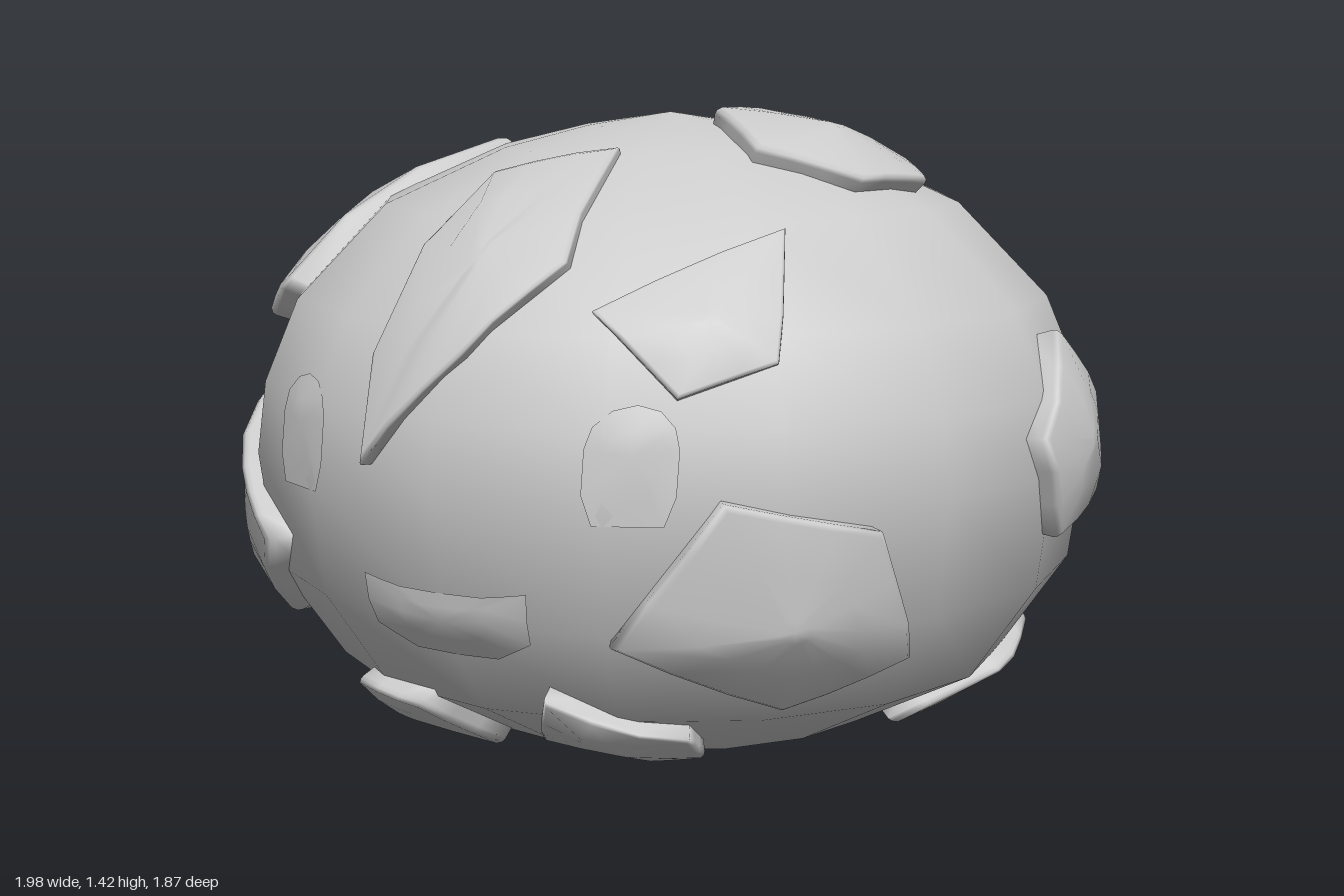
import * as THREE from 'three';

const grey = new THREE.MeshStandardMaterial({ color: 0xcccccc, side: THREE.DoubleSide });
const centre = new THREE.Vector3(0, 0.66, 0);
const depth = 0.985, forward = 0.012; // body is slightly shallower than wide and set forward

// Body profile: radius, height
const profile = [
  [0, 0], [0.24, 0.025], [0.485, 0.055], [0.76, 0.195], [0.91, 0.41], [0.945, 0.66],
  [0.925, 0.82], [0.85, 1.0], [0.65, 1.205], [0.38, 1.325], [0.19, 1.372], [0, 1.4],
].map(([r, y]) => new THREE.Vector2(r, y));

function radiusAt(y) {
  for (let i = 1; i < profile.length; i++) {
    const a = profile[i - 1], b = profile[i];
    if (y >= a.y && y <= b.y) return a.x + (b.x - a.x) * (y - a.y) / (b.y - a.y);
  }
  return 0;
}

// Push a point along its ray from the centre onto the body, plus a lift
function onBody(p, lift) {
  const dir = p.clone().sub(centre).normalize();
  let lo = 0, hi = 1.5;
  for (let i = 0; i < 30; i++) {
    const t = (lo + hi) / 2;
    const inside = Math.hypot(dir.x * t, (dir.z * t - forward) / depth) < radiusAt(centre.y + dir.y * t);
    if (inside) lo = t; else hi = t;
  }
  return dir.multiplyScalar(lo + lift).add(centre);
}

// Curved patch over the body: rings of [scale, lift] shrinking to the middle
function patch(name, corners, rings, steps) {
  const pts = corners.map((c) => new THREE.Vector3(...c));
  const mid = pts.reduce((s, p) => s.add(p), new THREE.Vector3()).divideScalar(pts.length);
  const area = new THREE.Vector3();
  pts.forEach((p, i) => area.add(p.clone().sub(mid).cross(pts[(i + 1) % pts.length].clone().sub(mid))));
  if (area.dot(mid.clone().sub(centre)) < 0) pts.reverse();

  const outline = [];
  pts.forEach((p, i) => {
    for (let s = 0; s < steps; s++) outline.push(p.clone().lerp(pts[(i + 1) % pts.length], s / steps));
  });
  const n = outline.length, pos = [], index = [];
  for (const [scale, lift] of rings) {
    for (const p of outline) pos.push(...onBody(mid.clone().lerp(p, scale), lift).toArray());
  }
  pos.push(...onBody(mid, rings[rings.length - 1][1]).toArray());
  const last = rings.length - 1;
  for (let i = 0; i < n; i++) {
    const j = (i + 1) % n;
    for (let r = 0; r < last; r++) {
      const a = r * n + i, b = r * n + j;
      index.push(a, b, b + n, a, b + n, a + n);
    }
    index.push(last * n + i, last * n + j, rings.length * n);
  }
  const geo = new THREE.BufferGeometry();
  geo.setAttribute('position', new THREE.Float32BufferAttribute(pos, 3));
  geo.setIndex(index);
  geo.computeVertexNormals();
  const mesh = new THREE.Mesh(geo, grey);
  mesh.name = name;
  return mesh;
}

// Corner points of the thinner plates
const thinPlates = {
  foreheadPlate: [[-0.15, 1.28, 0.47], [0.09, 1.34, 0.37], [0.18, 1.12, 0.7], [0.04, 0.95, 0.87], [-0.18, 0.72, 0.93]],
  leftBrowPlate: [[0.28, 1.05, 0.78], [0.51, 1.18, 0.42], [0.62, 0.95, 0.63], [0.46, 0.88, 0.75]],
  backPlate: [[-0.1, 0.94, -0.87], [0.06, 1.04, -0.78], [0.17, 1.09, -0.65], [0.42, 1.08, -0.58],
    [0.62, 0.98, -0.61], [0.52, 0.71, -0.74], [0.4, 0.6, -0.83], [0.18, 0.48, -0.89]],
  smallTopPlate: [[-0.55, 1.2, -0.37], [-0.24, 1.26, -0.48], [-0.14, 1.3, -0.41], [-0.21, 1.34, -0.26]],
};

// Corner points of the thicker plates
const thickPlates = {
  leftCheekPlate: [[0.56, 0.69, 0.75], [0.78, 0.62, 0.52], [0.81, 0.33, 0.4], [0.6, 0.23, 0.57], [0.36, 0.4, 0.84]],
  rightCheekPlate: [[-0.89, 0.78, 0.25], [-0.72, 0.62, 0.62], [-0.53, 0.5, 0.78], [-0.61, 0.3, 0.57],
    [-0.82, 0.22, 0.04], [-0.95, 0.6, -0.1]],
  leftChinPlate: [[0.18, 0.26, 0.8], [0.4, 0.17, 0.6], [0.36, 0.09, 0.47], [0.25, 0.07, 0.5], [0.1, 0.15, 0.68]],
  rightChinPlate: [[-0.51, 0.12, 0.36], [-0.34, 0.22, 0.7], [-0.14, 0.21, 0.75], [-0.12, 0.06, 0.5]],
  leftSidePlate: [[0.88, 0.95, -0.1], [0.94, 0.75, 0.1], [0.94, 0.53, 0.02], [0.9, 0.58, -0.25], [0.89, 0.8, -0.26]],
  leftUndersidePlate: [[0.54, 0.08, -0.01], [0.72, 0.19, -0.16], [0.68, 0.25, -0.41], [0.61, 0.17, -0.38], [0.53, 0.09, -0.2]],
  backUndersidePlate: [[-0.22, 0.03, -0.27], [-0.05, 0.1, -0.57], [-0.14, 0.21, -0.75], [-0.38, 0.23, -0.7], [-0.35, 0.1, -0.45]],
  rightBackPlate: [[-0.51, 0.67, -0.77], [-0.56, 0.85, -0.68], [-0.74, 0.83, -0.52], [-0.8, 0.7, -0.47], [-0.7, 0.53, -0.61]],
  topPlate: [[0.14, 1.38, 0.06], [0.18, 1.36, -0.12], [0.31, 1.33, -0.17], [0.42, 1.28, -0.25],
    [0.56, 1.23, -0.09], [0.52, 1.24, 0.13], [0.33, 1.3, 0.23]],
  rightBrowPlate: [[-0.9, 0.98, 0.03], [-0.65, 1.19, -0.09], [-0.43, 1.3, 0], [-0.62, 1.02, 0.53],
    [-0.73, 0.93, 0.47], [-0.85, 0.93, 0.24]],
};

export function createModel() {
  const model = new THREE.Group();

  // Squashed round body
  const body = new THREE.Mesh(new THREE.LatheGeometry(profile, 16), grey);
  body.geometry.scale(1, 1, depth).translate(0, 0, forward);
  body.name = 'body';
  model.add(body);

  // Raised plates with a rounded rim and a peaked middle
  for (const [set, lift] of [[thinPlates, 0.026], [thickPlates, 0.05]]) {
    const rim = [[1, -0.03], [1, lift * 0.45], [0.985, lift * 0.65], [0.94, lift * 0.8], [0.5, lift], [0.1, lift * 1.2]];
    for (const [name, corners] of Object.entries(set)) model.add(patch(name, corners, rim, 3));
  }

  // A point on the face, seen from the front
  const facePoint = (x, y) => [x, y, forward + depth * Math.sqrt(radiusAt(y) ** 2 - x * x)];

  // Arched eyes, lying almost flush
  const flush = [[1, 0.001], [0.5, 0.002]];
  for (const side of [1, -1]) {
    const eye = [[0.34, 0.64], [0.47, 0.64], [0.49, 0.7]];
    for (let i = 0; i <= 6; i++) {
      const a = Math.PI * i / 6;
      eye.push([0.405 + 0.085 * Math.cos(a), 0.79 + 0.085 * Math.sin(a)]);
    }
    eye.push([0.32, 0.7]);
    const corners = eye.map(([x, y]) => facePoint(side * x, y));
    model.add(patch(side > 0 ? 'leftEye' : 'rightEye', corners, flush, 1));
  }

  // Wide mouth
  const mouth = [[-0.2, 0.49], [-0.1, 0.475], [0.1, 0.475], [0.2, 0.49], [0.19, 0.38], [0.1, 0.335], [-0.1, 0.335], [-0.19, 0.38]]
    .map(([x, y]) => facePoint(x, y));
  model.add(patch('mouth', mouth, flush, 2));

  return model;
}
